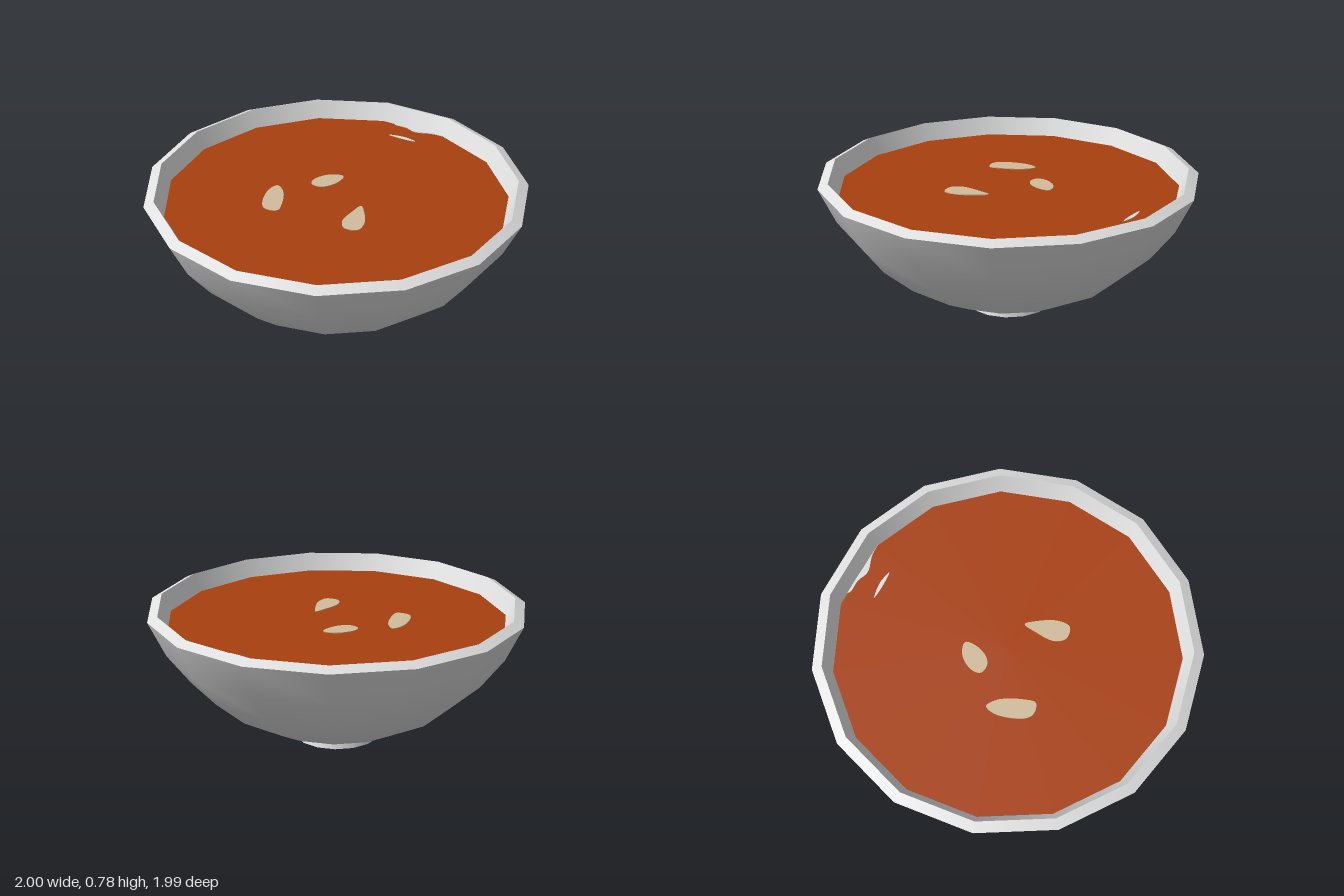
import * as THREE from 'three';

const SIDES = 15;
const CENTRE_Z = 0.01;
const SOUP_Y = 0.685;

function material(name, color) {
  const m = new THREE.MeshStandardMaterial({ color });
  m.name = name;
  return m;
}

// Surface of revolution; profile runs so that its front faces outwards
function lathe(name, profile, mat) {
  const points = profile.map(([r, y]) => new THREE.Vector2(r, y));
  const mesh = new THREE.Mesh(new THREE.LatheGeometry(points, SIDES, Math.PI), mat);
  mesh.name = name;
  mesh.position.z = CENTRE_Z;
  return mesh;
}

// Thin smooth-edged plate lying on the soup, outlined by [x, z] points
function plate(name, outline, mat) {
  const curve = new THREE.CatmullRomCurve3(
    outline.map(([x, z]) => new THREE.Vector3(x, -z, 0)), true);
  const shape = new THREE.Shape(curve.getPoints(32).map((p) => new THREE.Vector2(p.x, p.y)));
  const geometry = new THREE.ExtrudeGeometry(shape, { depth: 0.005, bevelEnabled: false });
  geometry.rotateX(-Math.PI / 2);
  const mesh = new THREE.Mesh(geometry, mat);
  mesh.name = name;
  mesh.position.y = SOUP_Y - 0.001;
  return mesh;
}

export function createModel() {
  const model = new THREE.Group();
  model.name = 'bowlOfSoup';
  const china = material('white china', 0xe0e0e0);
  const broth = material('orange broth', 0xa8400e);
  const pale = material('pale seed', 0xd2bc9c);

  // Bowl: separate bands keep the rim and foot edges crisp
  const bowl = new THREE.Group();
  bowl.name = 'bowl';
  bowl.add(
    lathe('footBase', [[0, 0.004], [0.232, 0.03]], china),
    lathe('footRing', [[0.232, 0.03], [0.215, 0.082]], china),
    lathe('outerWall', [[0.215, 0.082], [0.43, 0.147], [0.62, 0.25], [0.79, 0.4],
      [0.915, 0.565], [1.005, 0.755]], china),
    lathe('rim', [[1.005, 0.755], [0.952, 0.78]], china),
    lathe('innerWall', [[0.952, 0.78], [0.905, SOUP_Y], [0.85, 0.575], [0.73, 0.42],
      [0.57, 0.285], [0.39, 0.185], [0.2, 0.125], [0, 0.1]], china),
  );
  model.add(bowl);

  // Flat soup surface
  model.add(lathe('soup', [[0.906, SOUP_Y], [0, SOUP_Y]], broth));

  // Floating seeds
  const seeds = [
    [[-0.03, -0.21], [-0.03, -0.16], [-0.07, -0.09], [-0.12, -0.065], [-0.17, -0.085],
      [-0.165, -0.14], [-0.1, -0.205]],
    [[-0.335, -0.01], [-0.285, 0.04], [-0.25, 0.16], [-0.25, 0.23], [-0.31, 0.235],
      [-0.345, 0.2], [-0.365, 0.05]],
    [[0.15, 0.06], [0.185, 0.12], [0.215, 0.22], [0.2, 0.29], [0.13, 0.29],
      [0.1, 0.23], [0.125, 0.12]],
  ];
  seeds.forEach((outline, i) => model.add(plate(`seed${i + 1}`, outline, pale)));

  // Pale slivers breaking the surface near the back
  model.add(
    plate('backSliver', [[0.07, -0.882], [0.22, -0.848], [0.385, -0.81], [0.31, -0.822],
      [0.21, -0.815], [0.15, -0.85], [0.08, -0.868]], china),
    plate('smallSliver', [[0.08, -0.738], [0.17, -0.735], [0.24, -0.705], [0.16, -0.715]], china),
  );
  return model;
}
